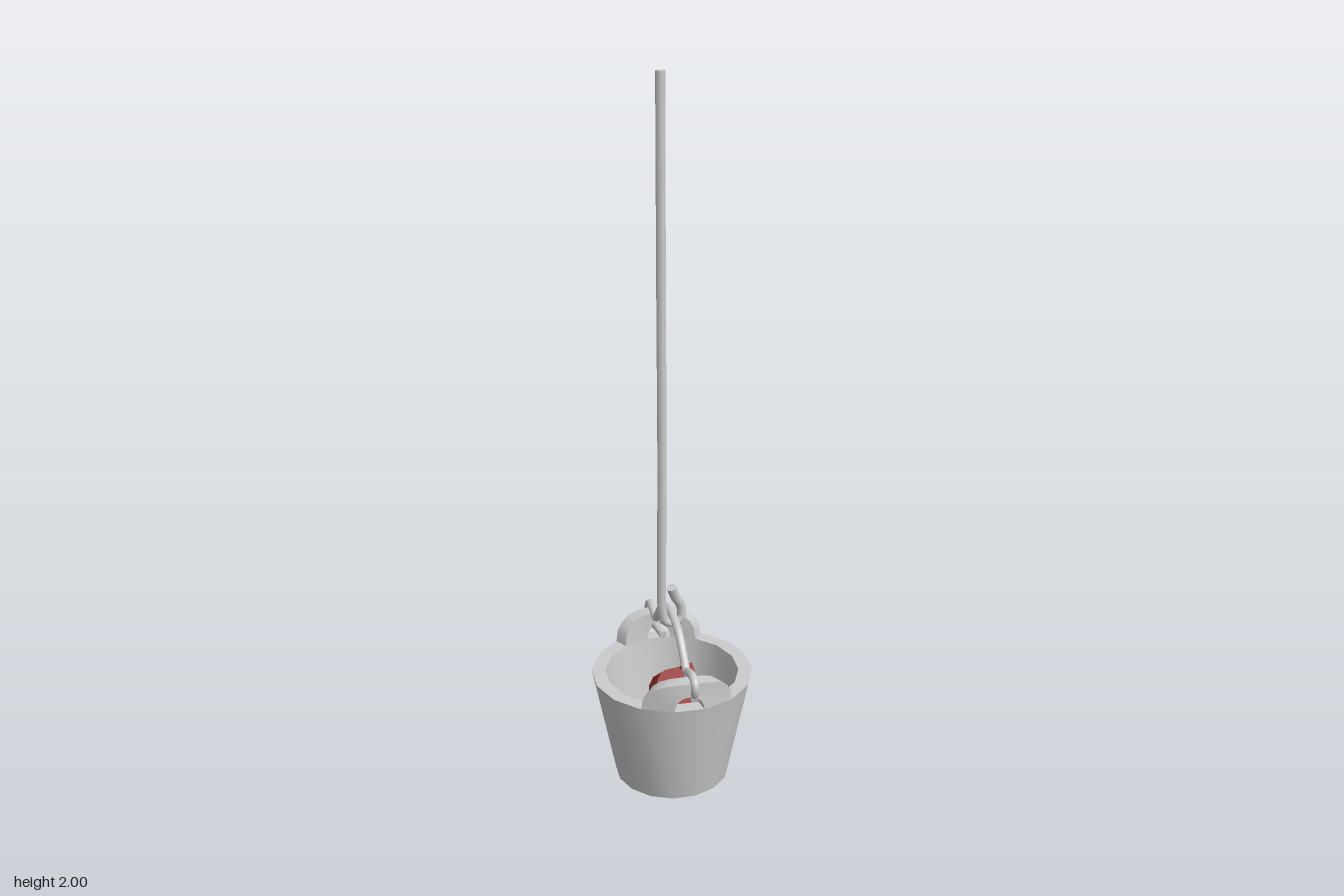
import * as THREE from 'three';
import { toCreasedNormals, mergeGeometries } from 'three/addons/utils/BufferGeometryUtils.js';

const grey = new THREE.MeshStandardMaterial({ color: 0xcccccc });
const red = new THREE.MeshStandardMaterial({ color: 0x8e2a24, flatShading: true });
const CENTER_Z = 0.01, RIM_Y = 0.325, RIM_OUT = 0.23, RIM_IN = 0.19;

function mesh(name, geometry, material = grey) {
  const m = new THREE.Mesh(geometry, material);
  m.name = name;
  return m;
}

// Round bar along a smooth curve, closed with a disc at each end
function bar(points, radius, segments) {
  const curve = new THREE.CatmullRomCurve3(points.map(p => new THREE.Vector3(...p)));
  const parts = [new THREE.TubeGeometry(curve, segments, radius, 8)];
  for (const t of [0, 1]) {
    const dir = curve.getTangentAt(t).multiplyScalar(t ? 1 : -1);
    const cap = new THREE.CircleGeometry(radius, 8);
    cap.applyQuaternion(new THREE.Quaternion().setFromUnitVectors(new THREE.Vector3(0, 0, 1), dir));
    cap.translate(...curve.getPointAt(t).toArray());
    parts.push(cap);
  }
  return mergeGeometries(parts);
}

// Arched lug with a hole, wrapped around the rim at the given angle
function ear(angle) {
  const g = new THREE.BoxGeometry(1, 1, 1, 10, 1, 1);
  const p = g.attributes.position;
  for (let i = 0; i < p.count; i++) {
    const a = Math.PI * (0.5 - p.getX(i));
    const outer = p.getY(i) > 0;
    const c = Math.cos(a), s = Math.max(0, Math.sin(a));
    const u = outer ? 0.135 * Math.sign(c) * Math.abs(c) ** 0.8 : 0.042 * c;
    const v = outer ? 0.085 * s ** 0.8 : 0.045 * s;
    const r = p.getZ(i) > 0 ? RIM_OUT : RIM_IN;
    const phi = angle + u / RIM_OUT;
    p.setXYZ(i, r * Math.sin(phi), RIM_Y + v, CENTER_Z + r * Math.cos(phi));
  }
  return toCreasedNormals(g, 0.6);
}

function hammer() {
  const group = new THREE.Group();
  group.name = 'hammer';

  // Four-sided tapered handle
  const shaft = new THREE.CylinderGeometry(0.03, 0.045, 0.27, 4);
  shaft.rotateY(Math.PI / 4).translate(0, 0.135, 0);
  group.add(mesh('hammerHandle', shaft, red));

  // Head: middle block, neck and striking face
  for (const [name, x, w, h] of [
    ['hammerHeadMiddle', 0, 0.05, 0.045],
    ['hammerNeck', 0.03, 0.025, 0.032],
    ['hammerFace', 0.055, 0.035, 0.052],
  ]) {
    const block = mesh(name, new THREE.BoxGeometry(w, h, h), red);
    block.position.set(x, 0.275, 0);
    group.add(block);
  }

  // Curved claw on the other side
  const profile = new THREE.Shape([
    [-0.02, 0.022], [-0.045, 0.018], [-0.07, -0.005], [-0.08, -0.035],
    [-0.066, -0.03], [-0.045, -0.014], [-0.02, -0.02],
  ].map(q => new THREE.Vector2(...q)));
  const claw = new THREE.ExtrudeGeometry(profile, { depth: 0.045, bevelEnabled: false });
  claw.translate(0, 0.275, -0.0225);
  group.add(mesh('hammerClaw', claw, red));

  // Lean with the head up towards the back wall
  group.position.set(0.045, 0.05, 0.125);
  group.rotation.set(-0.78, 0.3, 0.06);
  return group;
}

export function createModel() {
  const model = new THREE.Group();
  model.name = 'bucketOnRope';

  // Sixteen-sided bucket: base, outer wall, rim, inner wall, floor
  const profile = [[0, 0], [0.165, 0], [RIM_OUT, RIM_Y], [RIM_IN, RIM_Y], [0.148, 0.04], [0, 0.04]];
  const body = new THREE.LatheGeometry(profile.map(q => new THREE.Vector2(...q)), 16);
  body.translate(0, 0, CENTER_Z);
  model.add(mesh('bucket', toCreasedNormals(body, 0.6)));

  // Lugs on opposite sides of the rim
  const earAngle = -Math.PI / 16;
  model.add(mesh('frontEar', ear(earAngle)), mesh('backEar', ear(earAngle + Math.PI)));

  // Bail handle: arches over, then hooks over each lug and in through its hole
  const half = [
    [0.013, 0.362, 0.125], [0.006, 0.368, 0.17], [0, 0.366, 0.215], [0, 0.378, 0.24], [0, 0.405, 0.243],
    [0, 0.42, 0.222], [0, 0.415, 0.19], [0, 0.405, 0.158], [0, 0.44, 0.125], [0, 0.487, 0.075],
  ];
  const mirrored = half.map(([x, y, z]) => [x, y, -z]).reverse();
  const handle = mesh('handle', bar([...half, [0, 0.506, 0], ...mirrored], 0.012, 90));
  handle.rotation.y = -0.13;
  model.add(handle);

  // Rope hanging straight down, looped under the handle with a loose end
  model.add(mesh('rope', bar([
    [-0.029, 2, 0.003], [-0.029, 1.4, 0.005], [-0.029, 1, 0.008], [-0.029, 0.6, 0.004],
    [-0.027, 0.52, 0.002], [-0.018, 0.483, 0.002], [0.005, 0.472, 0.004], [0.03, 0.487, 0.004],
    [0.028, 0.525, 0.004], [0.01, 0.555, 0.01], [-0.008, 0.595, 0.022],
  ], 0.0135, 200)));

  model.add(hammer());
  return model;
}
